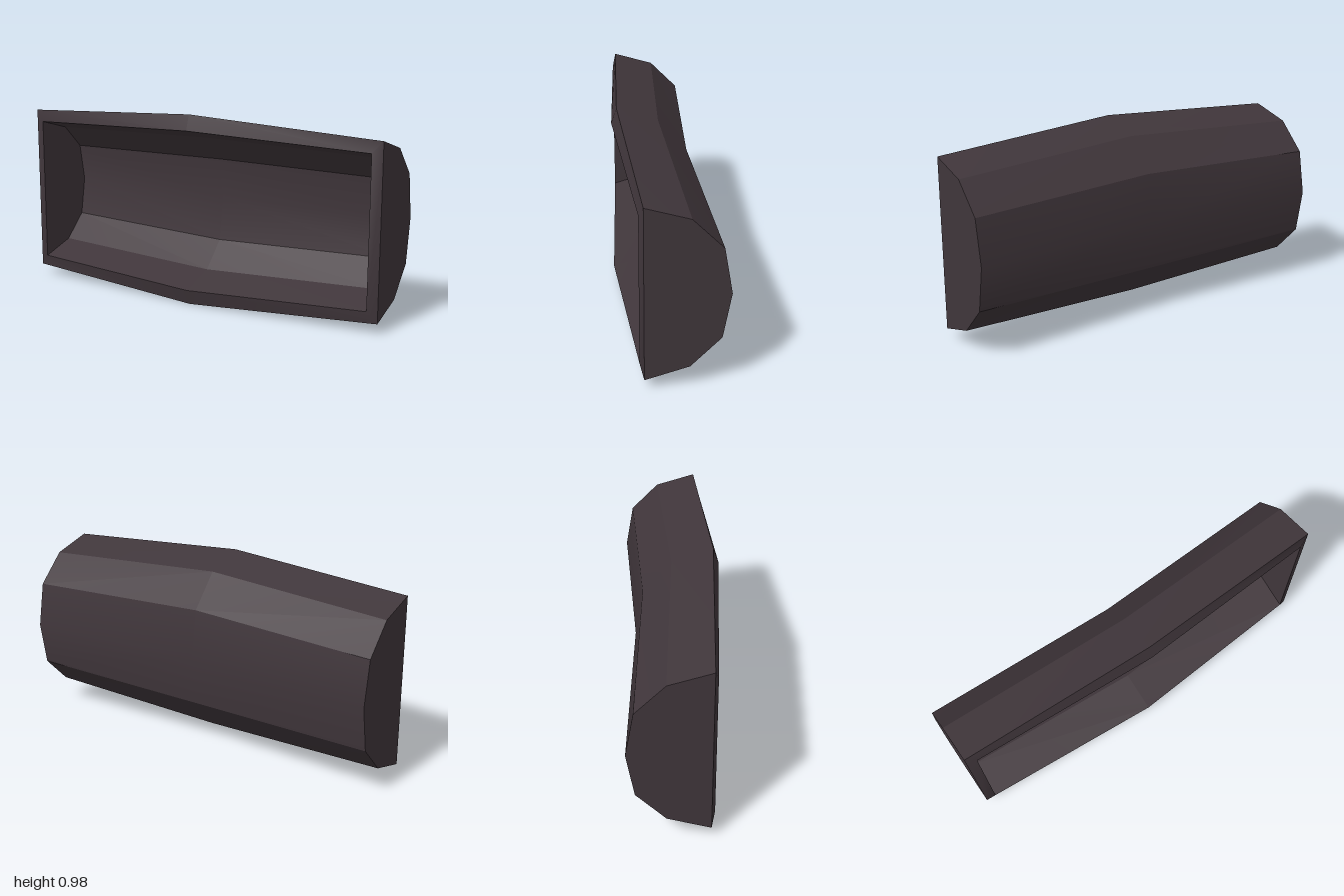
import * as THREE from 'three';
import { toCreasedNormals } from 'three/addons/utils/BufferGeometryUtils.js';

const MID_Y = 0.49;

// Half profiles as [z, height above the middle], from the top lip to the back ridge
const OUTER_END = [[0.155, 0.434], [-0.052, 0.372], [-0.195, 0.226], [-0.234, 0]];
const OUTER_MID = [[0.207, 0.488], [0, 0.418], [-0.145, 0.252], [-0.184, 0]];
const INNER_END = [[0.173, 0.375], [-0.018, 0.32], [-0.146, 0.197], [-0.181, 0]];
const INNER_MID = [[0.234, 0.409], [0.034, 0.348], [-0.097, 0.217], [-0.131, 0]];

// Mirror a half profile top to bottom and place it at x
function section(half, x) {
  const top = half.map(([z, h]) => [x, MID_Y + h, z]);
  const bottom = half.slice(0, -1).reverse().map(([z, h]) => [x, MID_Y - h, z]);
  return [...top, ...bottom];
}

// Skin neighbouring columns of points with quads
function skin(columns, flip = false) {
  const out = [];
  for (let i = 0; i < columns.length - 1; i++) {
    for (let j = 0; j < columns[i].length - 1; j++) {
      const a = columns[i][j], b = columns[i + 1][j];
      const c = columns[i + 1][j + 1], d = columns[i][j + 1];
      out.push(...(flip ? [a, d, c, a, c, b] : [a, b, c, a, c, d]));
    }
  }
  return out;
}

// Fill a convex outline
function fan(points) {
  const out = [];
  for (let i = 1; i < points.length - 1; i++) out.push(points[0], points[i], points[i + 1]);
  return out;
}

export function createModel() {
  const group = new THREE.Group();
  group.name = 'trough';
  const darkPlastic = new THREE.MeshStandardMaterial({ color: 0x40363b });
  darkPlastic.name = 'darkPlastic';

  function add(name, triangles) {
    let geometry = new THREE.BufferGeometry();
    geometry.setAttribute('position', new THREE.Float32BufferAttribute(triangles.flat(), 3));
    geometry = toCreasedNormals(geometry, THREE.MathUtils.degToRad(25));
    const mesh = new THREE.Mesh(geometry, darkPlastic);
    mesh.name = name;
    group.add(mesh);
  }

  const outer = [section(OUTER_END, -1), section(OUTER_MID, 0), section(OUTER_END, 1)];
  const inner = [section(INNER_END, -0.95), section(INNER_MID, 0), section(INNER_END, 0.95)];

  // Bowed outer shell and hollow lining
  add('outerShell', skin(outer));
  add('innerLining', skin(inner, true));

  // Flat ends, outside and inside
  add('rightEnd', fan(outer[0]));
  add('leftEnd', fan([...outer[2]].reverse()));
  add('rightInnerWall', fan([...inner[0]].reverse()));
  add('leftInnerWall', fan(inner[2]));

  // Rim joining the shell to the lining around the opening
  const loop = (s) => [...s.map((p) => p[0]), ...s.map((p) => p[p.length - 1]).reverse(), s[0][0]];
  const outerLoop = loop(outer), innerLoop = loop(inner);
  add('rim', skin(outerLoop.map((p, i) => [p, innerLoop[i]]), true));

  return group;
}
